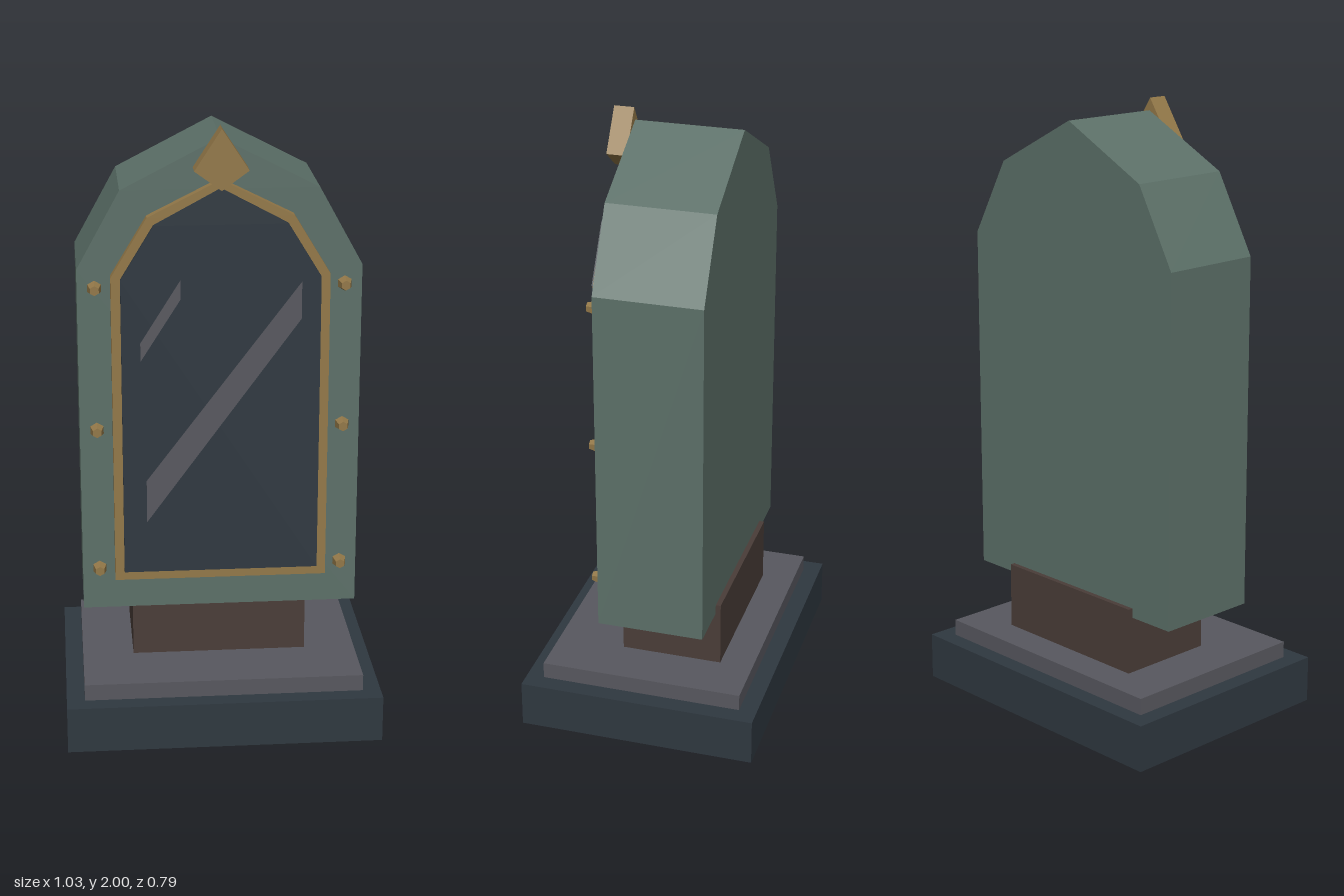
import * as THREE from 'three';

const mat = (name, color, flatShading = true) => {
  const m = new THREE.MeshStandardMaterial({ color, flatShading });
  m.name = name;
  return m;
};

// Symmetric outline from its right-hand points, bottom to apex
function arch(points) {
  const left = points.filter(([x]) => x > 0).reverse().map(([x, y]) => [-x, y]);
  return new THREE.Shape([...points, ...left].map(([x, y]) => new THREE.Vector2(x, y)));
}

export function createModel() {
  const model = new THREE.Group();
  const green = mat('sageGreen', 0x5c7068);
  const slate = mat('darkSlate', 0x2f3840);
  const grey = mat('stoneGrey', 0x58585f);
  const brass = mat('brass', 0x937848);
  const brown = mat('darkBrown', 0x4a3d38);

  const add = (name, geometry, material, x = 0, y = 0, z = 0) => {
    const mesh = new THREE.Mesh(geometry, material);
    mesh.name = name;
    mesh.position.set(x, y, z);
    model.add(mesh);
    return mesh;
  };
  const box = (name, material, w, y0, y1, z0, z1) =>
    add(name, new THREE.BoxGeometry(w, y1 - y0, z1 - z0), material, 0, (y0 + y1) / 2, (z0 + z1) / 2);
  const slab = (name, material, shape, z0, z1) =>
    add(name, new THREE.ExtrudeGeometry(shape, { depth: z1 - z0, bevelEnabled: false }), material, 0, 0, z0);

  // Stepped base and neck
  box('base', slate, 1.03, 0, 0.155, -0.393, 0.393);
  box('plinth', grey, 0.912, 0.155, 0.21, -0.335, 0.335);
  box('neck', brown, 0.575, 0.21, 0.43, -0.225, 0.11);

  // Arched body, frame and dark pane
  slab('body', green, arch([[0.45, 0.398], [0.45, 1.55], [0.312, 1.8], [0, 1.96]]), -0.208, 0.142);
  slab('frame', brass, arch([[0.345, 0.508], [0.345, 1.53], [0.23, 1.72], [0, 1.835]]), 0.142, 0.175);
  slab('pane', slate, arch([[0.315, 0.54], [0.315, 1.525], [0.21, 1.697], [0, 1.81]]), 0.155, 0.188);

  // Diagonal glints on the pane
  const glints = [
    [[-0.24, 0.715], [0.254, 1.39], [0.254, 1.51], [-0.24, 0.857]],
    [[-0.255, 1.26], [-0.128, 1.46], [-0.128, 1.522], [-0.255, 1.32]],
  ];
  for (const g of glints) {
    slab('glint', grey, new THREE.Shape(g.map(([x, y]) => new THREE.Vector2(x, y))), 0.187, 0.19);
  }

  // Diamond crest
  slab('crest', brass, arch([[0, 1.808], [0.085, 1.87], [0, 2]]), 0.145, 0.21);

  // Rivets down both sides
  const rivet = new THREE.CylinderGeometry(0.016, 0.025, 0.034, 6).rotateX(Math.PI / 2);
  for (const side of [-1, 1]) {
    for (const y of [0.54, 1.02, 1.49]) add('rivet', rivet, brass, side * 0.395, y, 0.158);
  }
  return model;
}
